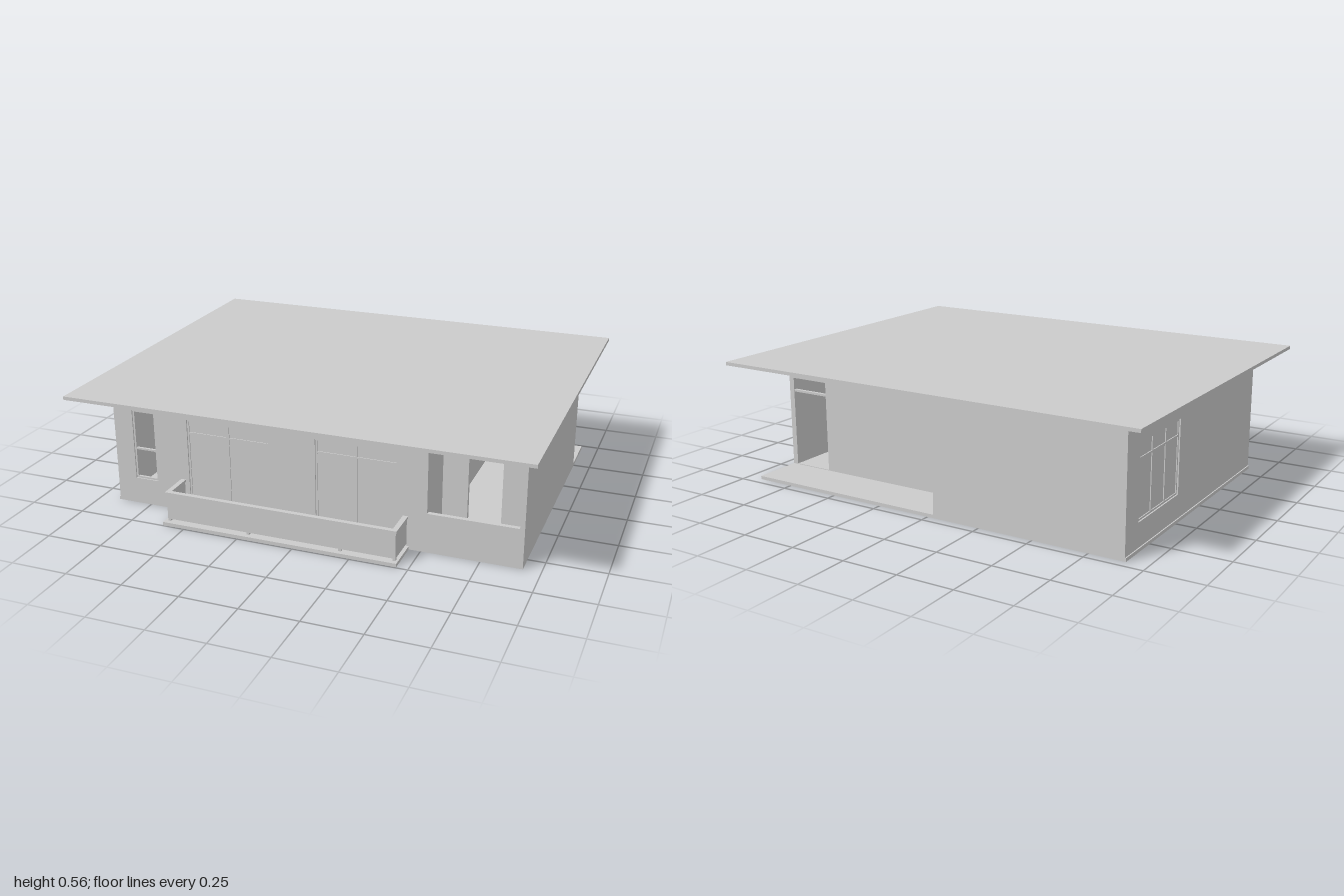
import * as THREE from 'three';

const FLOOR = 0.015, TOP = 0.54, T = 0.02;

export function createModel() {
  const house = new THREE.Group();
  house.name = 'house';
  const mat = new THREE.MeshStandardMaterial({ color: 0xcccccc, flatShading: true });

  // box given by its min and max corners
  function box(name, x0, x1, y0, y1, z0, z1, parent = house) {
    const m = new THREE.Mesh(new THREE.BoxGeometry(x1 - x0, y1 - y0, z1 - z0), mat);
    m.position.set((x0 + x1) / 2, (y0 + y1) / 2, (z0 + z1) / 2);
    m.name = name;
    parent.add(m);
    return m;
  }

  // rectangle [a0, a1, y0, y1] as a path
  function rect(path, [a0, a1, y0, y1]) {
    path.moveTo(a0, y0);
    path.lineTo(a1, y0);
    path.lineTo(a1, y1);
    path.lineTo(a0, y1);
    path.closePath();
    return path;
  }

  // places something drawn in the xy plane; along z, its x runs to +z and its depth to -x
  function place(object, axis, pos) {
    if (axis === 'x') object.position.z = pos;
    else {
      object.rotation.y = -Math.PI / 2;
      object.position.x = pos;
    }
    house.add(object);
  }

  // upright wall with rectangular openings
  function wall(name, axis, pos, from, to, holes = [], y0 = FLOOR, y1 = TOP) {
    const shape = rect(new THREE.Shape(), [from, to, y0, y1]);
    holes.forEach(h => shape.holes.push(rect(new THREE.Path(), h)));
    const geo = new THREE.ExtrudeGeometry(shape, { depth: T, bevelEnabled: false });
    const m = new THREE.Mesh(geo, mat);
    m.name = name;
    place(m, axis, pos);
  }

  // frame with upright and level bars, optionally glazed
  function windowUnit(name, axis, pos, [a0, a1, y0, y1], uprights, levels, glazed) {
    const g = new THREE.Group();
    g.name = name;
    const b = 0.004, d = 0.014;
    [a0 + b, ...uprights, a1 - b].forEach(a => box('upright', a - b, a + b, y0, y1, 0.003, d, g));
    [y0 + b, ...levels, y1 - b].forEach(y => box('crossbar', a0, a1, y - b, y + b, 0.003, d, g));
    if (glazed) box('pane', a0, a1, y0, y1, 0.006, 0.01, g);
    place(g, axis, pos);
  }

  // roof and floor
  box('roof', -1, 1, TOP, 0.555, -0.805, 0.805);
  box('floorSlab', -0.91, 0.925, 0, FLOOR, -0.71, 0.585);

  // openings
  const narrow = [-0.815, -0.705, 0.12, 0.44];
  const french = [[-0.55, -0.165, 0.02, 0.43], [0.04, 0.4, 0.02, 0.43]];
  const side = [-0.6, -0.23, 0.12, 0.44];
  const small = [-0.68, -0.575, 0.26, 0.44];
  const backDoor = [0.713, 0.9, 0.018, 0.43];
  const loggiaDoor = [0.635, 0.78, 0.018, 0.435];

  // outer walls
  const front = 0.585 - T;
  wall('frontWall', 'x', front, -0.905, 0.525, [narrow, ...french]);
  wall('loggiaParapet', 'x', front, 0.525, 0.905, [], FLOOR, 0.175);
  wall('rightSideWall', 'z', 0.925, -0.49, 0.585);
  wall('leftSideWall', 'z', -0.905 + T, -0.71, front, [side]);
  wall('backWall', 'x', -0.71, -0.905 + T, -0.03);
  wall('porchSideWall', 'z', -0.03, -0.71 + T, -0.49, [small]);
  wall('porchBackWall', 'x', -0.49, -0.05, 0.905, [backDoor]);

  // loggia and corridor walls
  wall('corridorWall', 'z', 0.525, -0.47, front);
  wall('loggiaBackWall', 'x', 0.35, 0.525, 0.905, [loggiaDoor]);

  // windows and door transom
  windowUnit('narrowWindow', 'x', front, narrow, [], [0.26], false);
  french.forEach(f => windowUnit('frenchWindow', 'x', front, f, [(f[0] + f[1]) / 2], [0.37], true));
  windowUnit('sideWindow', 'z', -0.905 + T, side, [-0.477, -0.353], [0.37], true);
  windowUnit('porchWindow', 'z', -0.03, small, [], [], false);
  box('backDoorTransom', 0.713, 0.9, 0.365, 0.375, -0.487, -0.473);

  // front balcony: slab, raised parapet on feet, and cap
  box('balconySlab', -0.6, 0.45, 0, FLOOR, 0.585, 0.745);
  const L = -0.585, R = 0.44, Z = 0.725, w = 0.012;
  box('balconyFront', L, R, 0.025, 0.14, Z - w, Z);
  box('balconyCapFront', L - 0.005, R + 0.005, 0.14, 0.15, Z - w - 0.004, Z + 0.005);
  [L, R - w].forEach(x => {
    box('balconySide', x, x + w, 0.025, 0.14, 0.585, Z - w);
    box('balconyCapSide', x - 0.005, x + w + 0.005, 0.14, 0.15, 0.585, Z - w - 0.004);
  });
  [L, -0.215, 0.195, R - w].forEach(x => box('balconyFoot', x, x + w, FLOOR, 0.025, Z - w, Z));

  return house;
}
